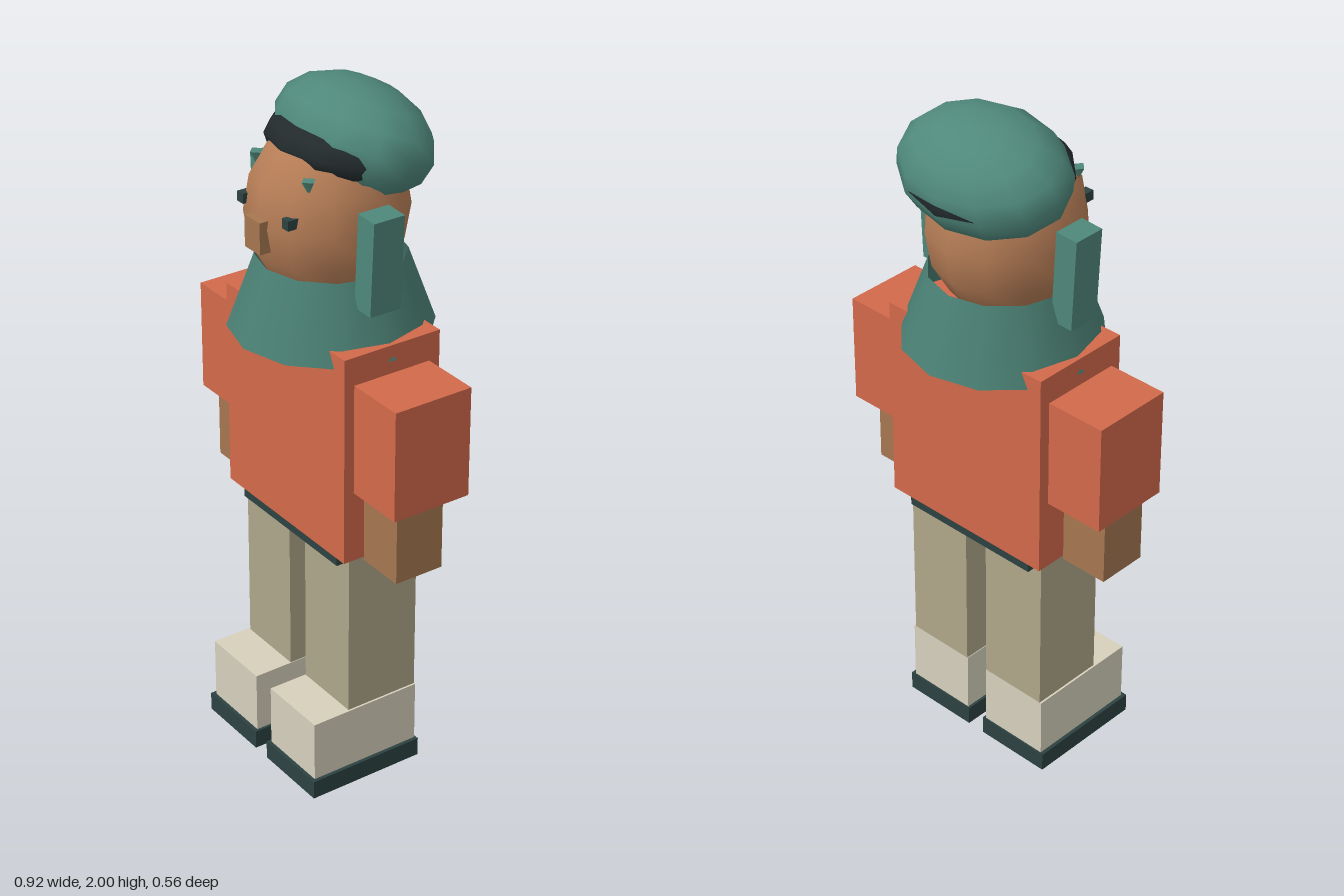
import * as THREE from 'three';

const material = (color) => new THREE.MeshStandardMaterial({ color });
const orange = material(0xd2694a), skin = material(0xa67750), face = material(0xb67d56);
const teal = material(0x4f887b), dark = material(0x2c4241), hairDark = material(0x222a2b);
const khaki = material(0xafa78a), cream = material(0xd6d0bc);
const collarTeal = material(0x4a7f73);
collarTeal.side = THREE.DoubleSide;

export function createModel() {
  const model = new THREE.Group();

  const add = (name, geometry, mat, x, y, z) => {
    const mesh = new THREE.Mesh(geometry, mat);
    mesh.name = name;
    mesh.position.set(x, y, z);
    model.add(mesh);
    return mesh;
  };
  // Box given by its [min, max] range on each axis
  const box = (name, mat, [x0, x1], [y0, y1], [z0, z1]) =>
    add(name, new THREE.BoxGeometry(x1 - x0, y1 - y0, z1 - z0), mat,
      (x0 + x1) / 2, (y0 + y1) / 2, (z0 + z1) / 2);
  // Low-poly ellipsoid, tilted so its front rises
  const ellipsoid = (name, mat, [rx, ry, rz], [x, y, z], tilt = 0) => {
    const mesh = add(name, new THREE.SphereGeometry(1, 12, 8).scale(rx, ry, rz), mat, x, y, z);
    mesh.rotation.x = -tilt;
    return mesh;
  };

  // Body
  box('torso', orange, [-0.277, 0.277], [0.75, 1.365], [-0.153, 0.153]);
  box('belt', dark, [-0.225, 0.225], [0.712, 0.77], [-0.14, 0.14]);
  add('collar', new THREE.CylinderGeometry(0.205, 0.281, 0.21, 12, 1, true), collarTeal, 0, 1.425, 0);

  // Head, hair and cap
  ellipsoid('head', face, [0.216, 0.26, 0.223], [0, 1.66, 0.012]);
  ellipsoid('hair', hairDark, [0.23, 0.09, 0.212], [0, 1.83, -0.048], 0.15);
  ellipsoid('cap', teal, [0.264, 0.15, 0.19], [0, 1.846, -0.07], 0.35);
  box('nose', skin, [-0.035, 0.035], [1.595, 1.685], [0.2, 0.248]);

  // Mirrored parts
  for (const side of [1, -1]) {
    const pair = (name, mat, [a, b], y, z) =>
      box(name, mat, side > 0 ? [a, b] : [-b, -a], y, z);

    pair('sleeve', orange, [0.277, 0.458], [0.96, 1.283], [-0.12, 0.122]);
    pair('hand', skin, [0.28, 0.427], [0.742, 0.97], [-0.06, 0.09]);
    pair('trouserLeg', khaki, [0.038, 0.247], [0.238, 0.755], [-0.112, 0.115]);
    pair('shoe', cream, [0.036, 0.253], [0.05, 0.24], [-0.112, 0.234]);
    pair('sole', dark, [0.028, 0.264], [0, 0.056], [-0.117, 0.245]);
    pair('eye', dark, [0.09, 0.117], [1.685, 1.713], [0.18, 0.216]);

    const flap = pair('earFlap', teal, [0.205, 0.275], [1.46, 1.73], [-0.03, 0.066]);
    flap.rotation.z = -0.05 * side;

    const brow = add('brow', new THREE.ConeGeometry(0.022, 0.04, 4), teal, 0.118 * side, 1.79, 0.152);
    brow.rotation.x = Math.PI;
  }

  return model;
}
